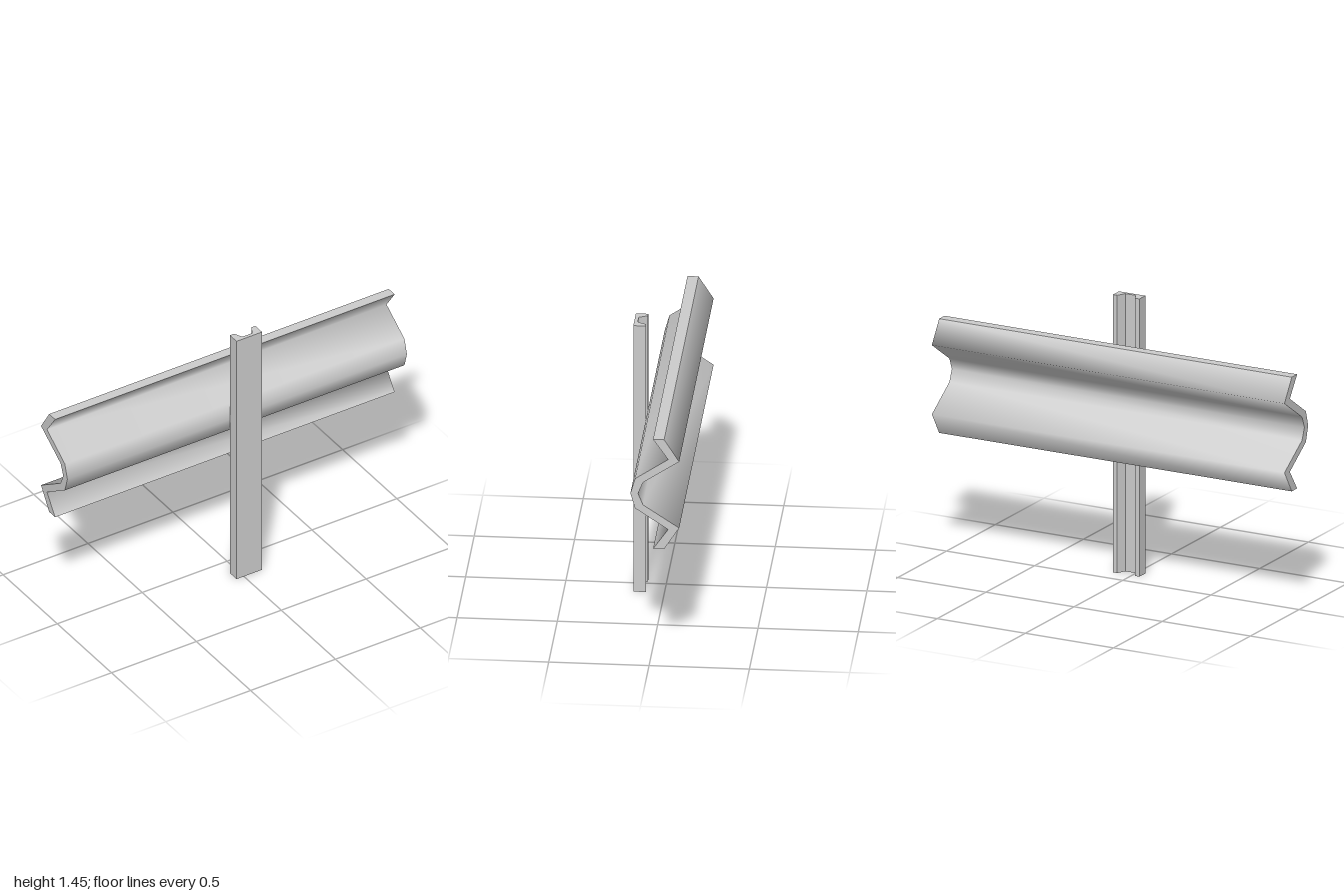
import * as THREE from 'three';
import { mergeGeometries } from 'three/addons/utils/BufferGeometryUtils.js';

const MID = 0.933; // height of the rail's centre line
const HALF = 1;    // half the rail's length

// Mirrors the upper half of a profile [depth, offset] about the centre line, top to bottom
function mirrored(half) {
  const lower = half.slice(0, -1).reverse().map(([u, v]) => [u, -v]);
  return [...half, ...lower].map(([u, v]) => [u, v + MID]);
}

// Long band following the points, with normals smoothed across its folds
function band(points) {
  const pos = [], uv = [], index = [];
  points.forEach(([u, v], i) => {
    pos.push(u, v, -HALF, u, v, HALF);
    uv.push(0, v, 1, v);
    if (i > 0) {
      const a = 2 * (i - 1);
      index.push(a, a + 2, a + 3, a, a + 3, a + 1);
    }
  });
  const g = new THREE.BufferGeometry();
  g.setAttribute('position', new THREE.Float32BufferAttribute(pos, 3));
  g.setAttribute('uv', new THREE.Float32BufferAttribute(uv, 2));
  g.setIndex(index);
  g.computeVertexNormals();
  return g;
}

const toShape = (points) => new THREE.Shape(points.map(([x, y]) => new THREE.Vector2(x, y)));

// Flat end of the rail; the far one is turned to face outwards
function endCap(points, side) {
  const g = new THREE.ShapeGeometry(toShape(points));
  if (side < 0) {
    g.setIndex(Array.from(g.index.array).reverse());
    g.computeVertexNormals();
  }
  return g.translate(0, 0, side * HALF);
}

export function createModel() {
  const group = new THREE.Group();
  const material = new THREE.MeshStandardMaterial({ color: 0xcccccc });

  // Folded guard rail: smooth front and back, sharp rims and ends
  const front = mirrored([[0.02, 0.297], [0.095, 0.19], [-0.07, 0.08], [-0.093, 0]]);
  const back = mirrored([[0.075, 0.297], [0.15, 0.18], [-0.03, 0.061], [-0.055, 0]]).reverse();
  const outline = [...front, ...back];
  const railGeometry = mergeGeometries([
    band(front),
    band(back),
    band([front.at(-1), back[0]]),
    band([back.at(-1), front[0]]),
    endCap(outline, 1),
    endCap(outline, -1),
  ]);
  railGeometry.rotateY(Math.PI / 2);
  const rail = new THREE.Mesh(railGeometry, material);
  rail.name = 'guardRail';
  group.add(rail);

  // Upright post with a tapered groove along its back, drawn as [x, -z]
  const section = [
    [-0.043, -0.155], [0.107, -0.155], [0.107, -0.093], [0.083, -0.093],
    [0.061, -0.137], [0.003, -0.137], [-0.019, -0.093], [-0.043, -0.093],
  ];
  const postGeometry = new THREE.ExtrudeGeometry(toShape(section), { depth: 1.445, bevelEnabled: false });
  postGeometry.rotateX(-Math.PI / 2);
  const post = new THREE.Mesh(postGeometry, material);
  post.name = 'post';
  group.add(post);

  return group;
}
